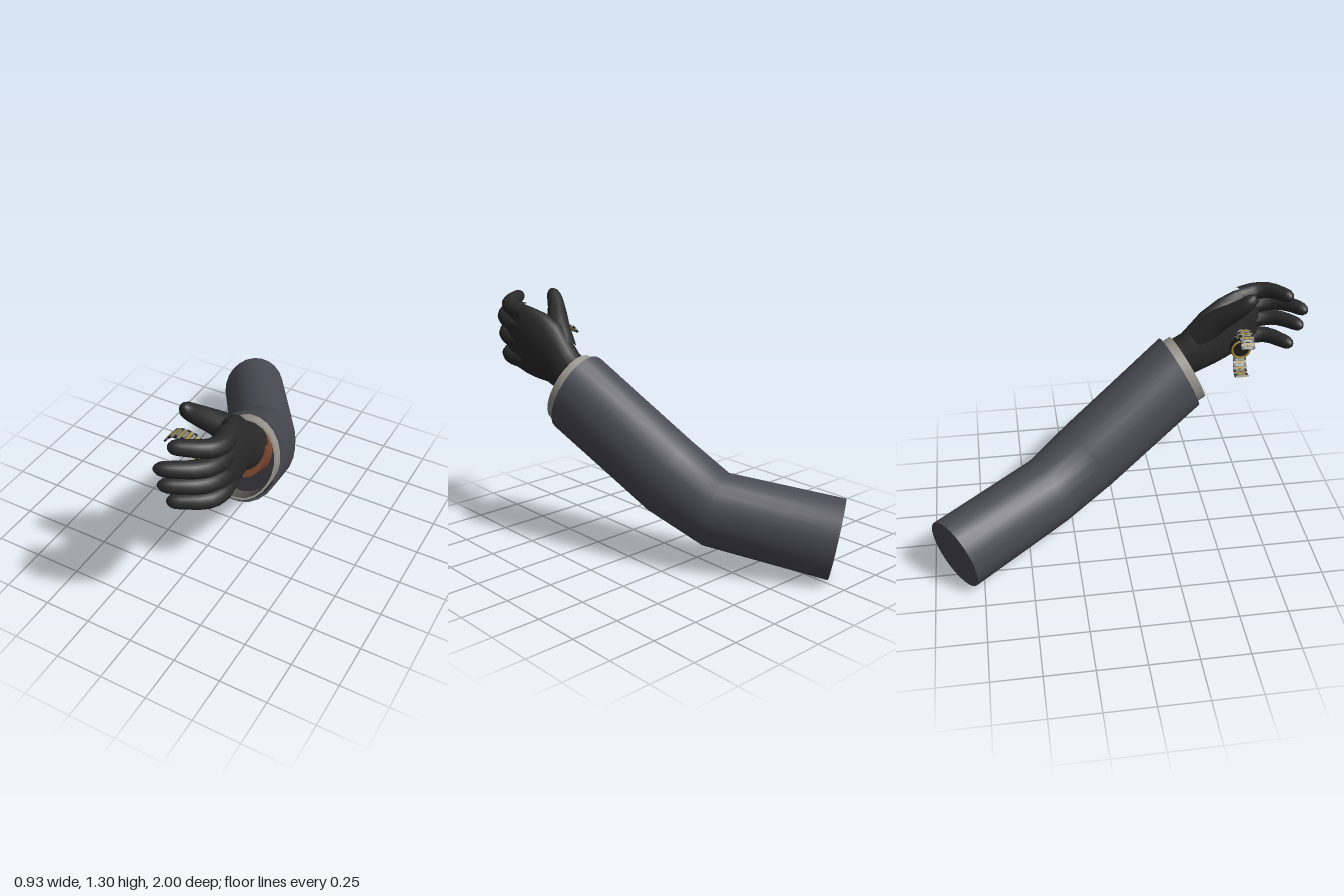
import * as THREE from 'three';

const V = (a) => new THREE.Vector3(...a);
const mat = (name, color, side = THREE.FrontSide) => {
  const m = new THREE.MeshStandardMaterial({ color, side });
  m.name = name;
  return m;
};

// Skin elliptical rings [centre, normal, half width, half height]; repeat a ring for a sharp edge.
function loft(rings, capStart = false, capEnd = false, sides = 24) {
  const pos = [], idx = [];
  const addRing = ([c, n, rw, rh]) => {
    const N = V(n).normalize();
    const H = new THREE.Vector3(0, 1, 0).cross(N).normalize();
    const U = N.clone().cross(H);
    for (let j = 0; j < sides; j++) {
      const a = (j / sides) * Math.PI * 2;
      const p = V(c).addScaledVector(H, rw * Math.cos(a)).addScaledVector(U, rh * Math.sin(a));
      pos.push(p.x, p.y, p.z);
    }
  };
  rings.forEach(addRing);
  for (let i = 0; i < rings.length - 1; i++) {
    for (let j = 0; j < sides; j++) {
      const k = (j + 1) % sides;
      const a = i * sides + j, b = i * sides + k, c = b + sides, d = a + sides;
      idx.push(a, b, c, a, c, d);
    }
  }
  const cap = (ring, flip) => {
    const s = pos.length / 3;
    addRing(ring);
    pos.push(...ring[0]);
    for (let j = 0; j < sides; j++) {
      const k = (j + 1) % sides;
      idx.push(s + sides, s + (flip ? k : j), s + (flip ? j : k));
    }
  };
  if (capStart) cap(rings[0], true);
  if (capEnd) cap(rings[rings.length - 1], false);
  const g = new THREE.BufferGeometry();
  g.setAttribute('position', new THREE.Float32BufferAttribute(pos, 3));
  g.setIndex(idx);
  g.computeVertexNormals();
  return g;
}

// Tapered digit with a rounded tip along a smooth path
function digit(points, r0, r1) {
  const curve = new THREE.CatmullRomCurve3(points.map(V));
  const ts = [0, 0.12, 0.24, 0.36, 0.48, 0.6, 0.72, 0.83, 0.9, 0.95, 0.985, 1];
  const rings = ts.map((t) => {
    const e = Math.max(0, (t - 0.83) / 0.17);
    const r = (r0 + (r1 - r0) * t) * Math.sqrt(Math.max(0.04, 1 - e * e * e));
    return [curve.getPointAt(t).toArray(), curve.getTangentAt(t).toArray(), r, r];
  });
  return loft(rings, false, true, 14);
}

export function createModel() {
  const model = new THREE.Group();
  model.name = 'gloved arm';
  const M = {
    sleeve: mat('sleeve cloth', 0x4a4a54),
    lining: mat('sleeve lining', 0x303036),
    cuff: mat('shirt cuff', 0x9a968f),
    cuffInside: mat('cuff inside', 0x575653),
    skin: mat('wrist skin', 0x7c4630),
    glove: mat('black glove', 0x2a2a2a),
    silver: mat('watch silver', 0x8c8c88),
    gold: mat('watch gold', 0xa88a30),
    dark: mat('watch dark', 0x1c1c1e),
  };
  const add = (name, geometry, material, parent = model) => {
    const mesh = new THREE.Mesh(geometry, material);
    mesh.name = name;
    parent.add(mesh);
    return mesh;
  };

  // Ring in the frame of the sleeve opening, shifted d along its axis
  const axis = V([0.2, 0.42, 0.88]).normalize();
  const open = (d, rw, rh, lift = 0) => {
    const c = V([0.278, 0.81, 0.36]).addScaledVector(axis, d);
    c.y += lift;
    return [c.toArray(), axis.toArray(), rw, rh];
  };

  // Jacket sleeve, bent at the elbow
  add('sleeve', loft([
    [[-0.325, 0.207, -0.885], [0.58, 0.17, 0.8], 0.178, 0.208],
    [[0, 0.305, -0.38], [0.44, 0.24, 0.87], 0.18, 0.195],
    [[0.1, 0.447, -0.15], [0.36, 0.43, 0.85], 0.185, 0.212],
    open(0, 0.182, 0.222),
    open(0, 0.182, 0.222),
    open(0, 0.17, 0.209),
  ], true), M.sleeve);
  add('sleeveLining', loft([
    open(0, 0.17, 0.209), open(-0.06, 0.168, 0.205),
    open(-0.06, 0.168, 0.205), open(-0.06, 0.01, 0.01),
  ]), M.lining);

  // Shirt cuff and wrist
  add('shirtCuff', loft([
    open(-0.06, 0.162, 0.198), open(0.05, 0.162, 0.198),
    open(0.05, 0.162, 0.198), open(0.05, 0.152, 0.188),
  ]), M.cuff);
  add('cuffInside', loft([open(0.05, 0.152, 0.188), open(-0.055, 0.15, 0.184)]), M.cuffInside);
  add('wrist', loft([
    open(-0.06, 0.12, 0.13, 0.035), open(0.035, 0.112, 0.122, 0.04),
  ], false, true), M.skin);

  // Glove: palm, four curled fingers and a thumb
  const hand = new THREE.Group();
  hand.name = 'glove';
  model.add(hand);
  add('palm', loft([
    [[0.293, 0.875, 0.34], [0.05, 0.42, 0.9], 0.088, 0.115],
    [[0.295, 0.92, 0.42], [0.05, 0.4, 0.9], 0.086, 0.118],
    [[0.303, 0.992, 0.51], [0.12, 0.22, 0.97], 0.09, 0.158],
    [[0.328, 1.025, 0.585], [0.2, 0.1, 0.97], 0.078, 0.178],
    [[0.354, 1.048, 0.66], [0.15, 0.06, 1], 0.062, 0.182],
    [[0.368, 1.07, 0.75], [0.02, 0, 1], 0.046, 0.178],
    [[0.37, 1.075, 0.79], [-0.1, 0, 1], 0.03, 0.155],
  ], true, true), M.glove, hand);

  // Base height, then tip x, y, z
  const fingers = [
    ['indexFinger', 1.195, 0.215, 1.243, 0.92],
    ['middleFinger', 1.118, 0.19, 1.173, 0.995],
    ['ringFinger', 1.032, 0.2, 1.08, 0.985],
    ['littleFinger', 0.94, 0.215, 0.965, 0.945],
  ];
  for (const [name, y, tx, ty, tz] of fingers) {
    const at = (x, f, g) => [x, y + (ty - y) * f, 0.68 + (tz - 0.68) * g];
    add(name, digit([
      at(0.36, 0, 0), at(0.38, 0.3, 0.35), at(0.355, 0.6, 0.62), at(0.285, 0.85, 0.83), [tx, ty, tz],
    ], 0.05, 0.033), M.glove, hand);
  }
  add('thumb', digit([
    [0.29, 1.02, 0.46], [0.25, 1.12, 0.545], [0.2, 1.195, 0.62], [0.173, 1.25, 0.675], [0.168, 1.295, 0.71],
  ], 0.075, 0.034), M.glove, hand);

  // Open wristwatch held in the palm: chained links with gold centres
  const watch = new THREE.Group();
  watch.name = 'watch';
  model.add(watch);
  const strap = new THREE.CatmullRomCurve3([
    [0.055, 1.055, 0.665], [0.085, 1.088, 0.665], [0.135, 1.1, 0.665], [0.195, 1.085, 0.665],
    [0.235, 1.03, 0.67], [0.245, 0.97, 0.675], [0.245, 0.9, 0.675], [0.205, 0.852, 0.67],
    [0.15, 0.842, 0.665], [0.105, 0.865, 0.66],
  ].map(V));
  const count = 32, size = strap.getLength() / count;
  for (let i = 0; i < count; i++) {
    const t = (i + 0.5) / count;
    const link = new THREE.Group();
    link.name = 'strapLink';
    link.position.copy(strap.getPointAt(t));
    const d = strap.getTangentAt(t);
    link.rotation.z = Math.atan2(d.y, d.x);
    watch.add(link);
    const edge = i % 2 ? M.silver : M.dark;
    add('linkSides', new THREE.BoxGeometry(size, 0.008, 0.07), edge, link);
    add('linkCentre', new THREE.BoxGeometry(size * 0.7, 0.011, 0.045), i % 2 ? M.gold : M.silver, link);
  }
  const face = new THREE.Group();
  face.name = 'watchFace';
  face.position.set(0.222, 0.965, 0.67);
  face.rotation.z = Math.PI / 2;
  watch.add(face);
  add('watchCase', new THREE.CylinderGeometry(0.052, 0.055, 0.03, 24), M.dark, face);
  const bezel = add('bezel', new THREE.TorusGeometry(0.048, 0.006, 6, 24), M.gold, face);
  bezel.rotation.x = Math.PI / 2;
  bezel.position.y = 0.015;

  return model;
}
